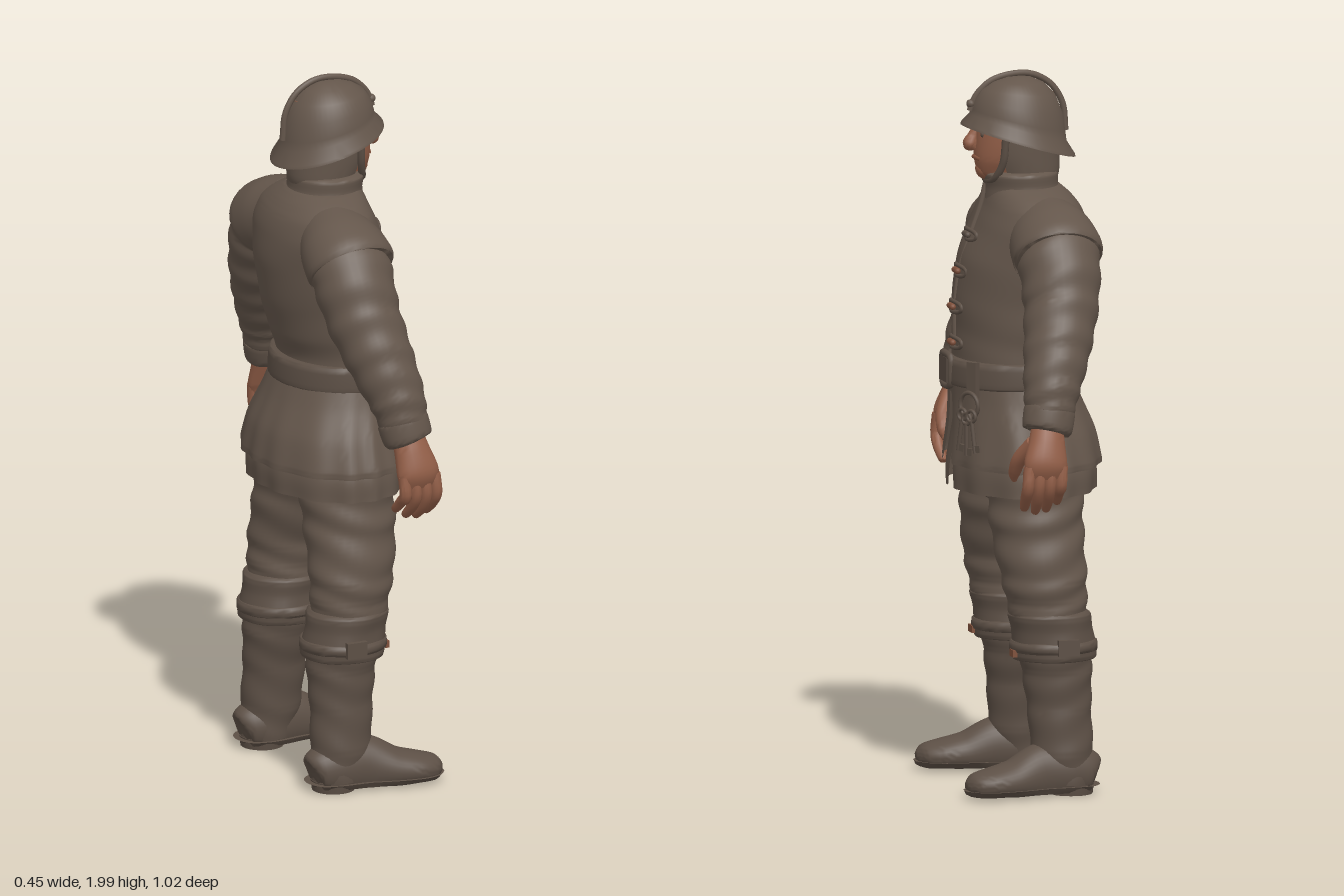
import * as THREE from 'three';
import { toCreasedNormals } from 'three/addons/utils/BufferGeometryUtils.js';

const mat = (name, color, side = THREE.FrontSide) => {
  const m = new THREE.MeshStandardMaterial({ color, side });
  m.name = name;
  return m;
};
const V = (x, y, z) => new THREE.Vector3(x, y, z);

// Skin a row of elliptical sections [x, y, z, rx, rz]; level sections unless tilt is set.
function loft(rows, { seg = 30, n = 36, tilt = false, cap = true, fold, gap, lo = -9, hi = 9 } = {}) {
  const path = new THREE.CatmullRomCurve3(rows.map(r => V(r[0], r[1], r[2])), false, 'catmullrom', 0.4);
  const size = new THREE.CatmullRomCurve3(rows.map(r => V(r[3], r[4], 0)), false, 'catmullrom', 0.4);
  const pos = [], idx = [];
  const put = p => pos.push(p.x, Math.min(hi, Math.max(lo, p.y)), p.z);
  for (let i = 0; i <= seg; i++) {
    const s = i / seg, c = path.getPoint(s), r = size.getPoint(s);
    const T = tilt ? path.getTangent(s) : V(0, 1, 0);
    const U = V(1, 0, 0).addScaledVector(T, -T.x).normalize();
    const W = U.clone().cross(T);
    const g = gap ? gap(s) : 0;
    for (let j = 0; j <= n; j++) {
      const a = Math.PI / 2 + g + (j / n) * (2 * Math.PI - 2 * g);
      const k = fold ? fold(a, s) : 1;
      put(c.clone().addScaledVector(U, r.x * k * Math.cos(a)).addScaledVector(W, r.y * k * Math.sin(a)));
    }
  }
  for (let i = 0; i < seg; i++) for (let j = 0; j < n; j++) {
    const a = i * (n + 1) + j, b = a + n + 1;
    idx.push(a, b, a + 1, b, b + 1, a + 1);
  }
  if (cap && !gap) {
    const base = pos.length / 3, end = seg * (n + 1);
    put(path.getPoint(0)); put(path.getPoint(1));
    for (let j = 0; j < n; j++) idx.push(base, j, j + 1, base + 1, end + j + 1, end + j);
  }
  const geo = new THREE.BufferGeometry();
  geo.setAttribute('position', new THREE.Float32BufferAttribute(pos, 3));
  geo.setIndex(idx);
  return toCreasedNormals(geo, 0.9);
}

const tube = (pts, r, closed = false, seg = 32) =>
  new THREE.TubeGeometry(new THREE.CatmullRomCurve3(pts.map(p => V(...p)), closed), seg, r, 8, closed);

export function createModel() {
  const cloth = mat('brown cloth', 0x64564b);
  const clothOpen = mat('brown cloth two sided', 0x64564b, THREE.DoubleSide);
  const leather = mat('dark leather', 0x5c4f45);
  const skin = mat('skin', 0x935f48);
  const rust = mat('rust trim', 0x80513c);
  const root = new THREE.Group(), man = new THREE.Group();
  root.name = 'guard';
  man.name = 'figure';
  man.rotation.y = Math.PI / 2; // built facing +z, turned to face +x
  root.add(man);
  const add = (name, geo, m, x = 0, y = 0, z = 0) => {
    const mesh = new THREE.Mesh(geo, m);
    mesh.name = name;
    mesh.position.set(x, y, z);
    man.add(mesh);
    return mesh;
  };
  const wrinkle = (amp, f) => (a, s) => 1 + amp * Math.sin(s * f + 1.8 * Math.sin(a) + Math.cos(2 * a));

  // Jacket body and collar
  add('jacketBody', loft([
    [0, 1.1, .025, .205, .165], [0, 1.2, .025, .198, .157], [0, 1.27, .012, .206, .168],
    [0, 1.36, 0, .215, .18], [0, 1.47, -.015, .23, .18], [0, 1.56, -.03, .245, .158],
    [0, 1.615, -.032, .225, .137], [0, 1.65, -.025, .175, .118], [0, 1.675, -.015, .12, .1]
  ], { seg: 50, n: 48, fold: (a, s) => 1 + .008 * Math.sin(s * 38 + 3 * Math.cos(a)) * (1 - s) }), cloth);
  add('collar', loft([[0, 1.64, -.015, .125, .112], [0, 1.675, -.008, .112, .103], [0, 1.71, -.004, .114, .106],
    [0, 1.718, -.004, .1, .094]], { seg: 12 }), cloth);

  // Pleated skirt in two layers, parted at the front
  const pleat = (a, s) => 1 + .018 * (1 - s) * Math.sin(a * 15 + Math.sin(a * 4));
  add('underSkirt', loft([[0, .835, -.008, .285, .2], [0, .9, -.008, .28, .2], [0, 1.02, 0, .235, .175]],
    { seg: 12, n: 96, fold: pleat, gap: s => .09 * (1 - s) + .01 }), clothOpen);
  add('skirt', loft([[0, .905, -.01, .298, .212], [0, .925, -.01, .296, .211], [0, 1.0, -.006, .268, .2],
    [0, 1.08, .01, .23, .182], [0, 1.15, .025, .207, .17]],
    { seg: 20, n: 120, fold: pleat, gap: s => .16 * (1 - s) + .005 }), clothOpen);
  add('hips', loft([[0, .8, -.01, .1, .1], [0, .87, -.01, .24, .15], [0, 1.0, 0, .235, .165]], { seg: 10 }), cloth);

  // Belt, buckle and pouch strap
  add('belt', loft([[0, 1.125, .025, .208, .172], [0, 1.132, .025, .215, .18], [0, 1.192, .025, .212, .176],
    [0, 1.2, .025, .202, .165]], { seg: 12, n: 48 }), leather);
  add('buckle', tube([[-.055, 1.125, .2], [-.015, 1.118, .205], [.025, 1.125, .2], [.03, 1.165, .2], [.025, 1.2, .2],
    [-.015, 1.207, .205], [-.055, 1.2, .2], [-.06, 1.165, .2]], .01, true, 48), leather);
  add('bucklePlate', new THREE.BoxGeometry(.07, .07, .015), leather, -.015, 1.163, .202);
  add('beltLoop', new THREE.BoxGeometry(.03, .1, .02), leather, .145, 1.155, .168).rotation.y = .65;

  // Key ring and keys
  add('keyRing', new THREE.TorusGeometry(.035, .006, 8, 24), leather, .148, 1.085, .18).rotation.y = .5;
  [[.125, .16], [.15, 0], [.178, -.15]].forEach(([x, lean], i) => {
    const z = .2 - i * .012, y = 1.0 - (i % 2) * .01;
    const key = new THREE.Group();
    key.name = 'key' + (i + 1);
    const parts = [[new THREE.CylinderGeometry(.006, .006, .09, 8), 0, 0], [new THREE.TorusGeometry(.016, .005, 8, 16), 0, .058],
      [new THREE.BoxGeometry(.022, .02, .007), .011, -.034]];
    for (const [g, px, py] of parts) {
      const m = new THREE.Mesh(g, leather);
      m.position.set(px, py, 0);
      key.add(m);
    }
    key.position.set(x, y, z);
    key.rotation.set(0, .5, -lean);
    man.add(key);
  });

  // Front placket with looped toggles
  add('placket', tube([[0, 1.68, .093], [0, 1.62, .107], [0, 1.54, .135], [0, 1.44, .167], [0, 1.34, .18], [0, 1.22, .18]], .008), cloth);
  [[1.54, .141], [1.44, .17], [1.34, .184], [1.24, .184]].forEach(([y, z], i) => {
    add('toggleLoop' + i, tube([[-.05, y - .008, z - .006], [0, y - .015, z + .004], [.05, y - .008, z - .006], [.056, y, z - .008],
      [.05, y + .008, z - .006], [0, y + .015, z + .004], [-.05, y + .008, z - .006], [-.056, y, z - .008]], .006, true, 48), leather);
    const peg = add('toggle' + i, new THREE.CapsuleGeometry(.009, .03, 4, 10), i ? rust : leather, 0, y, z + .007);
    peg.rotation.z = Math.PI / 2;
  });

  // Head, face, coif and chin strap
  add('head', loft([[0, 1.63, -.01, .07, .075], [0, 1.69, .005, .068, .08], [0, 1.71, .03, .058, .083], [0, 1.75, .024, .078, .1],
    [0, 1.8, .014, .088, .11], [0, 1.87, .004, .09, .115], [0, 1.93, 0, .075, .1]], { seg: 32 }), skin);
  add('nose', loft([[0, 1.85, .112, .01, .012], [0, 1.815, .128, .014, .016], [0, 1.793, .137, .021, .021],
    [0, 1.78, .126, .012, .01]], { tilt: true, seg: 14, n: 14 }), skin);
  add('lips', tube([[-.03, 1.752, .115], [0, 1.756, .126], [.03, 1.752, .115]], .006), rust);
  add('chin', new THREE.SphereGeometry(.03, 16, 12), skin, 0, 1.722, .092);
  add('coif', loft([[0, 1.68, -.02, .086, .085], [0, 1.71, -.015, .092, .1], [0, 1.76, -.004, .097, .112], [0, 1.82, 0, .1, .118],
    [0, 1.88, 0, .1, .12]], { seg: 16, gap: s => .85 + .15 * s }), clothOpen);
  add('chinStrap', tube([[-.093, 1.82, .06], [-.084, 1.75, .065], [-.055, 1.702, .08], [0, 1.69, .088], [.055, 1.702, .08],
    [.084, 1.75, .065], [.093, 1.82, .06]], .011), leather);
  for (const s of [-1, 1]) {
    add('eyebrow', tube([[s * .015, 1.84, .12], [s * .035, 1.846, .115], [s * .06, 1.838, .097]], .006, false, 10), leather);
    add('eye', new THREE.SphereGeometry(.009, 10, 8), leather, s * .034, 1.822, .108);
  }

  // Helmet: lathe stretched front to back, its brim raised at the front
  const profile = [[0, 1.978], [.03, 1.976], [.065, 1.962], [.095, 1.935], [.114, 1.895], [.121, 1.855], [.124, 1.835],
    [.145, 1.805], [.147, 1.797], [.14, 1.797], [.115, 1.83], [.095, 1.86]];
  const helmet = new THREE.LatheGeometry(profile.map(p => new THREE.Vector2(...p)).reverse(), 48);
  const hp = helmet.attributes.position;
  for (let i = 0; i < hp.count; i++) {
    const y = hp.getY(i), z = hp.getZ(i) * 1.09;
    hp.setXYZ(i, hp.getX(i), y + .3 * z * Math.min(1, (1.985 - y) / .15), z);
  }
  add('helmet', toCreasedNormals(helmet, 0.7), clothOpen);
  add('helmetComb', tube([[0, 1.885, .138], [0, 1.925, .122], [0, 1.965, .08], [0, 1.983, .02], [0, 1.981, -.04],
    [0, 1.95, -.095], [0, 1.895, -.128], [0, 1.82, -.136]], .009), cloth);
  add('helmetStud', new THREE.SphereGeometry(.012, 12, 8), cloth, 0, 1.905, .136);

  for (const s of [-1, 1]) {
    const side = s > 0 ? 'left' : 'right';
    const mir = rows => rows.map(([x, ...r]) => [x * s, ...r]);

    // Shoulder cap, sleeve and cuff
    add(side + 'ShoulderCap', loft(mir([[.12, 1.575, -.04, .09, .1], [.19, 1.545, -.045, .108, .122], [.245, 1.515, -.047, .115, .128],
      [.258, 1.505, -.047, .108, .12]]), { tilt: true, seg: 14 }), cloth);
    add(side + 'Sleeve', loft(mir([[.19, 1.54, -.047, .1, .11], [.255, 1.49, -.048, .104, .115], [.31, 1.38, -.038, .096, .105],
      [.365, 1.27, -.012, .086, .094], [.41, 1.17, .015, .073, .08], [.43, 1.1, .028, .062, .068]]),
      { tilt: true, seg: 60, fold: wrinkle(.026, 46) }), cloth);
    add(side + 'Cuff', loft(mir([[.422, 1.115, .024, .058, .062], [.425, 1.107, .026, .066, .072], [.438, 1.058, .036, .062, .07],
      [.44, 1.05, .038, .05, .055]]), { tilt: true, seg: 14 }), cloth);

    // Hand
    add(side + 'Palm', loft(mir([[.435, 1.07, .035, .036, .044], [.455, 1.02, .042, .038, .052], [.474, .965, .05, .034, .062],
      [.474, .925, .052, .02, .052]]), { tilt: true, seg: 16, n: 20 }), skin);
    for (let i = 0; i < 4; i++) {
      const z = .098 - i * .031, d = [.01, 0, .005, .025][i];
      add(side + 'Finger' + i, loft(mir([[.478, .96, z, .018, .017], [.482, .905, z + .004, .018, .017], [.458, .86 + d, z + .004, .016, .016],
        [.424, .828 + d, z, .012, .012], [.419, .823 + d, z, .004, .004]]), { tilt: true, seg: 14, n: 12 }), skin);
    }
    add(side + 'Thumb', loft(mir([[.44, 1.02, .075, .022, .024], [.4, .972, .105, .021, .021], [.372, .93, .112, .017, .017],
      [.362, .905, .11, .007, .007]]), { tilt: true, seg: 14, n: 12 }), skin);

    // Trouser leg
    add(side + 'TrouserLeg', loft(mir([[.2, .42, -.045, .09, .1], [.2, .52, -.03, .098, .11], [.195, .61, -.02, .105, .12],
      [.16, .74, -.01, .12, .13], [.14, .85, -.01, .127, .133], [.135, .98, -.01, .12, .13]]),
      { seg: 56, fold: wrinkle(.028, 40) }), cloth);

    // Boot: shaft, turned-down cuff with strap, foot, sole and heel
    add(side + 'BootShaft', loft(mir([[.225, .03, -.08, .068, .072], [.222, .12, -.066, .072, .086], [.212, .24, -.06, .074, .09],
      [.202, .34, -.056, .086, .098], [.2, .42, -.05, .092, .104]]), { seg: 40, fold: wrinkle(.022, 30) }), leather);
    add(side + 'BootCuff', loft(mir([[.198, .375, -.048, .09, .1], [.198, .38, -.048, .11, .116], [.198, .41, -.048, .112, .118],
      [.2, .46, -.042, .105, .113], [.2, .5, -.036, .109, .116], [.2, .512, -.034, .096, .103]]),
      { seg: 24, fold: (a, t) => 1 + .015 * Math.sin(a * 5 + t * 6) }), leather);
    add(side + 'CuffStrap', loft(mir([[.198, .4, -.047, .112, .12], [.198, .405, -.047, .117, .123], [.198, .425, -.047, .116, .122],
      [.198, .43, -.047, .11, .117]]), { seg: 8 }), leather);
    add(side + 'StrapBuckle', new THREE.BoxGeometry(.016, .045, .06), leather, s * .312, .42, -.06);
    add(side + 'StrapStud', new THREE.BoxGeometry(.04, .02, .012), rust, s * .215, .397, .072);
    const foot = g => mir([[.225, .05, -.155 - g, .03, .04], [.225, .055, -.14, .056 + g, .065], [.226, .06, -.08, .068 + g, .085],
      [.235, .06, .0, .064 + g, .085], [.25, .045, .08, .07 + g, .06], [.26, .04, .15, .07 + g, .045],
      [.264, .036, .195, .053 + g, .036], [.265, .032, .217 + g, .022, .018]]);
    add(side + 'BootFoot', loft(foot(0), { tilt: true, seg: 36, lo: .018 }), leather);
    add(side + 'BootSole', loft(foot(.005), { tilt: true, seg: 36, lo: .008, hi: .026 }), leather);
    add(side + 'BootHeel', new THREE.CylinderGeometry(.064, .06, .03, 24), leather, s * .226, .015, -.09);
  }
  return root;
}
